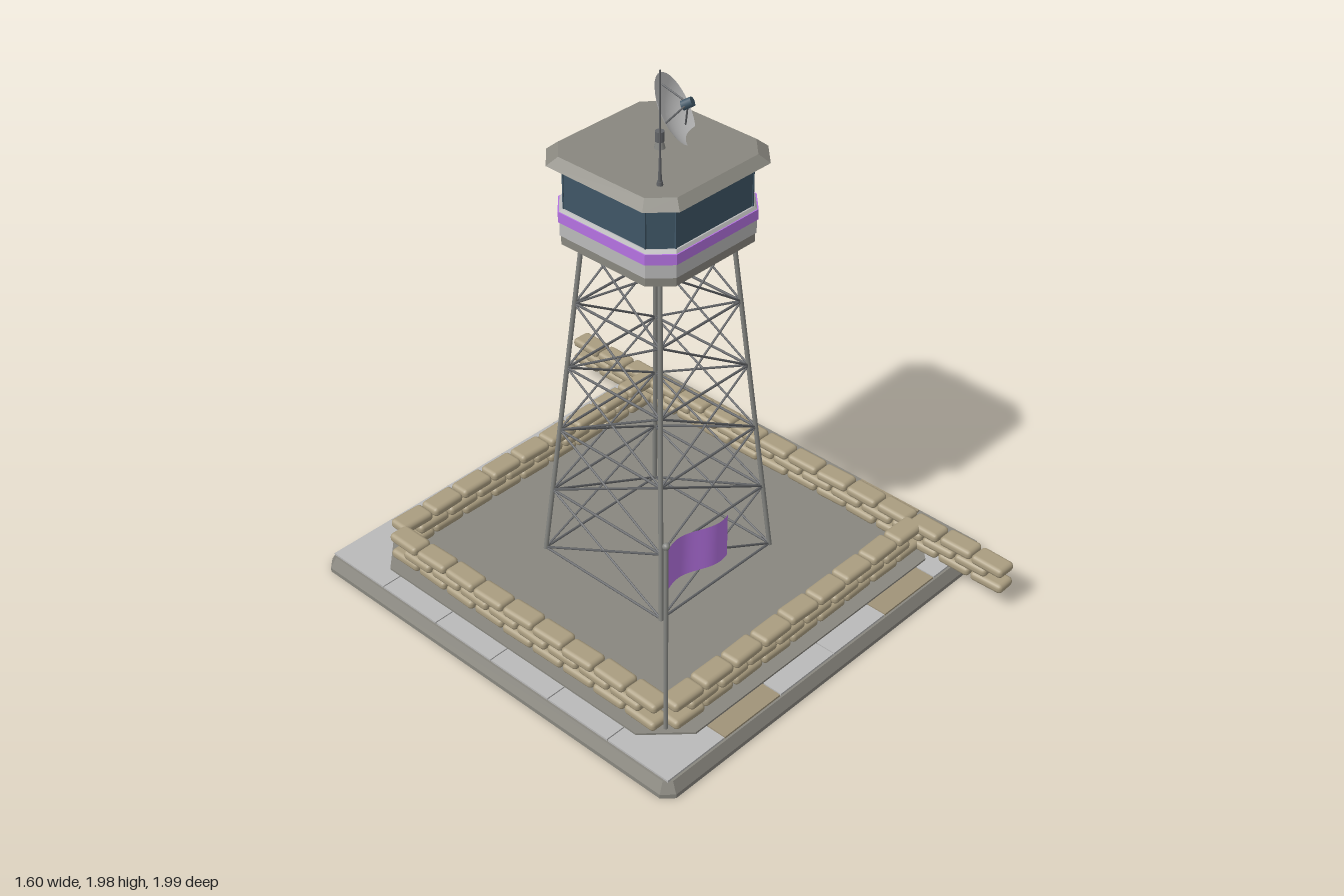
import * as THREE from 'three';
import { mergeGeometries } from 'three/addons/utils/BufferGeometryUtils.js';
import { RoundedBoxGeometry } from 'three/addons/geometries/RoundedBoxGeometry.js';

const material = (name, color, extra = {}) =>
  Object.assign(new THREE.MeshStandardMaterial({ color, ...extra }), { name });

// Solid with a chamfered square plan; rings are [half width, corner chamfer, y]
function chamferedSolid(rings) {
  const loops = rings.map(([h, c, y]) => {
    const k = h - c;
    return [[h, k], [h, -k], [k, -h], [-k, -h], [-h, -k], [-h, k], [-k, h], [k, h]].map(([x, z]) => [x, y, z]);
  });
  const out = [];
  const tri = (...pts) => pts.forEach((p) => out.push(...p));
  for (let r = 0; r + 1 < loops.length; r++) {
    for (let i = 0; i < 8; i++) {
      const j = (i + 1) % 8, lo = loops[r], hi = loops[r + 1];
      tri(lo[i], lo[j], hi[j]);
      tri(lo[i], hi[j], hi[i]);
    }
  }
  const bottom = loops[0], top = loops[loops.length - 1];
  for (let i = 1; i < 7; i++) {
    tri(top[0], top[i], top[i + 1]);
    tri(bottom[0], bottom[i + 1], bottom[i]);
  }
  const geo = new THREE.BufferGeometry();
  geo.setAttribute('position', new THREE.Float32BufferAttribute(out, 3));
  geo.computeVertexNormals();
  return geo;
}

// Round bar between two points
const UP = new THREE.Vector3(0, 1, 0);
function bar(a, b, radius, sides = 6) {
  const dir = b.clone().sub(a);
  const geo = new THREE.CylinderGeometry(radius, radius, dir.length(), sides);
  geo.applyQuaternion(new THREE.Quaternion().setFromUnitVectors(UP, dir.normalize()));
  return geo.translate((a.x + b.x) / 2, (a.y + b.y) / 2, (a.z + b.z) / 2);
}

export function createModel() {
  const model = new THREE.Group();
  model.name = 'watchtower';
  const concrete = material('concrete', 0x89877f);
  const paving = material('light grey', 0xbababa);
  const tan = material('tan paving', 0xa09379);
  const canvas = material('sandbag canvas', 0xaa9d80);
  const steel = material('steel', 0x858682);
  const dark = material('dark steel', 0x626467);
  const glass = material('dark glass', 0x3f5666);
  const purple = material('purple', 0xb572e2, { side: THREE.DoubleSide });
  const white = material('dish grey', 0xc2c2c2, { side: THREE.DoubleSide });
  const add = (name, geo, mat, parent = model) => {
    const mesh = new THREE.Mesh(geo, mat);
    mesh.name = name;
    parent.add(mesh);
    return mesh;
  };
  const V = (x, y, z) => new THREE.Vector3(x, y, z);

  // Foundation and yard
  add('foundation', chamferedSolid([[0.8, 0.035, 0], [0.8, 0.035, 0.015], [0.78, 0.022, 0.052]]), concrete);
  add('yard', chamferedSolid([[0.7, 0.13, 0.05], [0.7, 0.13, 0.066]]), concrete);

  // Paving slabs round the yard
  const tile = (x0, x1, z0, z1, mat) => {
    const gap = 0.004;
    const geo = new THREE.BoxGeometry(x1 - x0 - gap, 0.008, z1 - z0 - gap);
    add('pavingSlab', geo.translate((x0 + x1) / 2, 0.055, (z0 + z1) / 2), mat);
  };
  const edges = [-0.775, -0.52, -0.26, 0, 0.26, 0.52, 0.64];
  for (let i = 0; i < 6; i++) {
    const accent = i === 1 || i === 4;
    tile(edges[i], edges[i + 1], -0.775, -0.52, paving);
    tile(edges[i], edges[i + 1], 0.52, 0.775, accent ? tan : paving);
    if (i > 0 && i < 5) tile(-0.775, -0.52, edges[i], edges[i + 1], paving);
    if (accent) tile(0.52, 0.775, edges[i], edges[i + 1], tan);
  }

  // Sandbag walls: three staggered courses of slightly uneven bags
  let seed = 7;
  const jitter = (amount) => {
    seed = (seed * 16807) % 2147483647;
    return (seed / 2147483647 - 0.5) * 2 * amount;
  };
  function sandbagWall(name, count, pitch, x, z, alongZ) {
    const bags = [];
    for (let row = 0; row < 3; row++) {
      const n = row === 1 ? count - 1 : count;
      for (let i = 0; i < n; i++) {
        const bag = new RoundedBoxGeometry(pitch - 0.006, 0.035, 0.077, 2, 0.015);
        bag.rotateY(jitter(0.03));
        bag.translate((i - (n - 1) / 2) * pitch, 0.084 + row * 0.034, jitter(0.003));
        if (alongZ) bag.rotateY(Math.PI / 2);
        bags.push(bag.translate(x, 0, z));
      }
    }
    add(name, mergeGeometries(bags), canvas);
  }
  sandbagWall('frontSandbags', 9, 0.1365, 0, 0.62, false);
  sandbagWall('backSandbags', 9, 0.1365, 0, -0.625, false);
  sandbagWall('rightSandbags', 9, 0.1365, -0.625, 0, true);
  sandbagWall('leftSandbags', 15, 0.1333, 0.62, 0, true);

  // Lattice tower: four legs, with rails and cross braces on each face
  const levels = [0.07, 0.315, 0.56, 0.805, 1.05, 1.297];
  const half = (y) => 0.268 - (y - 0.065) * 0.084;
  const legs = [], braces = [];
  for (let side = 0; side < 4; side++) {
    const turn = (geo) => geo.rotateY((side * Math.PI) / 2);
    const corner = (s, y) => V(s * half(y), y, half(y));
    legs.push(turn(bar(corner(1, 0.06), corner(1, 1.31), 0.008, 8)));
    levels.forEach((y, i) => {
      braces.push(turn(bar(corner(-1, y), corner(1, y), 0.0045)));
      if (i === 5) return;
      for (const s of [-1, 1]) braces.push(turn(bar(corner(s, y), corner(-s, levels[i + 1]), 0.004)));
    });
  }
  add('towerLegs', mergeGeometries(legs), steel);
  add('towerBraces', mergeGeometries(braces), dark);

  // Cabin, built up in layers
  const cabin = new THREE.Group();
  cabin.name = 'cabin';
  model.add(cabin);
  const layer = (name, mat, ...rings) => add(name, chamferedSolid(rings), mat, cabin);
  layer('cabinFloor', concrete, [0.243, 0.066, 1.297], [0.243, 0.066, 1.328]);
  layer('cabinWall', paving, [0.246, 0.066, 1.328], [0.246, 0.066, 1.376]);
  layer('cabinStripe', purple, [0.25, 0.068, 1.376], [0.25, 0.068, 1.412]);
  layer('windowSill', paving, [0.246, 0.066, 1.412], [0.24, 0.066, 1.422]);
  layer('windows', glass, [0.235, 0.064, 1.422], [0.235, 0.064, 1.57]);
  layer('roof', concrete, [0.255, 0.07, 1.567], [0.277, 0.077, 1.575], [0.246, 0.068, 1.603]);
  const posts = [];
  for (let i = 0; i < 8; i++) {
    const x = i % 2 ? 0.235 : 0.171, z = i % 2 ? 0.171 : 0.235;
    posts.push(new THREE.BoxGeometry(0.005, 0.148, 0.005).translate(i & 2 ? x : -x, 1.496, i & 4 ? z : -z));
  }
  add('windowPosts', mergeGeometries(posts), glass, cabin);

  // Whip antenna and roof lamp
  add('antennaRod', new THREE.CylinderGeometry(0.0025, 0.003, 0.38, 6).translate(-0.16, 1.788, 0.16), dark);
  add('antennaBase', new THREE.CylinderGeometry(0.004, 0.006, 0.09, 8).translate(-0.16, 1.648, 0.16), dark);
  add('antennaFoot', new THREE.CylinderGeometry(0.009, 0.01, 0.015, 8).translate(-0.16, 1.609, 0.16), dark);
  add('lampFoot', new THREE.CylinderGeometry(0.012, 0.018, 0.024, 12).translate(0.004, 1.614, 0.004), steel);
  add('lampCap', new THREE.CylinderGeometry(0.015, 0.015, 0.034, 12).translate(0.004, 1.643, 0.004), dark);

  // Dish, modelled facing +y, then tilted so its rim meets the roof
  const dish = new THREE.Group();
  dish.name = 'dish';
  dish.position.set(0.098, 1.69, -0.02);
  dish.quaternion.setFromUnitVectors(UP, V(0.46, 0.5, 0.73).normalize());
  model.add(dish);
  const bowl = [];
  for (let i = 0; i <= 8; i++) bowl.push(new THREE.Vector2((i / 8) * 0.119, -0.035 + 0.035 * (i / 8) ** 2));
  add('dishBowl', new THREE.LatheGeometry(bowl, 32), white, dish);
  const struts = [0, 1, 2].map((i) => {
    const a = (i * Math.PI * 2) / 3 + 0.5;
    return bar(V(Math.cos(a) * 0.085, -0.015, Math.sin(a) * 0.085), V(0, 0.045, 0), 0.003);
  });
  add('feedStruts', mergeGeometries(struts), dark, dish);
  add('feedHorn', new THREE.CylinderGeometry(0.016, 0.016, 0.036, 10).translate(0, 0.043, 0), glass, dish);

  // Flagpole with a rippling flag
  add('flagpole', new THREE.CylinderGeometry(0.007, 0.007, 0.712, 10).translate(-0.62, 0.421, 0.62), steel);
  add('poleBall', new THREE.SphereGeometry(0.012, 12, 8).translate(-0.62, 0.778, 0.62), steel);
  const cloth = new THREE.PlaneGeometry(0.245, 0.15, 20, 1).translate(0.1225, 0, 0);
  const pos = cloth.attributes.position;
  for (let i = 0; i < pos.count; i++) {
    const t = pos.getX(i) / 0.245;
    pos.setZ(i, -0.018 * Math.sin(t * Math.PI * 1.8) + 0.004 * t);
  }
  cloth.computeVertexNormals();
  add('flag', cloth.translate(-0.615, 0.683, 0.62), purple);
  return model;
}
